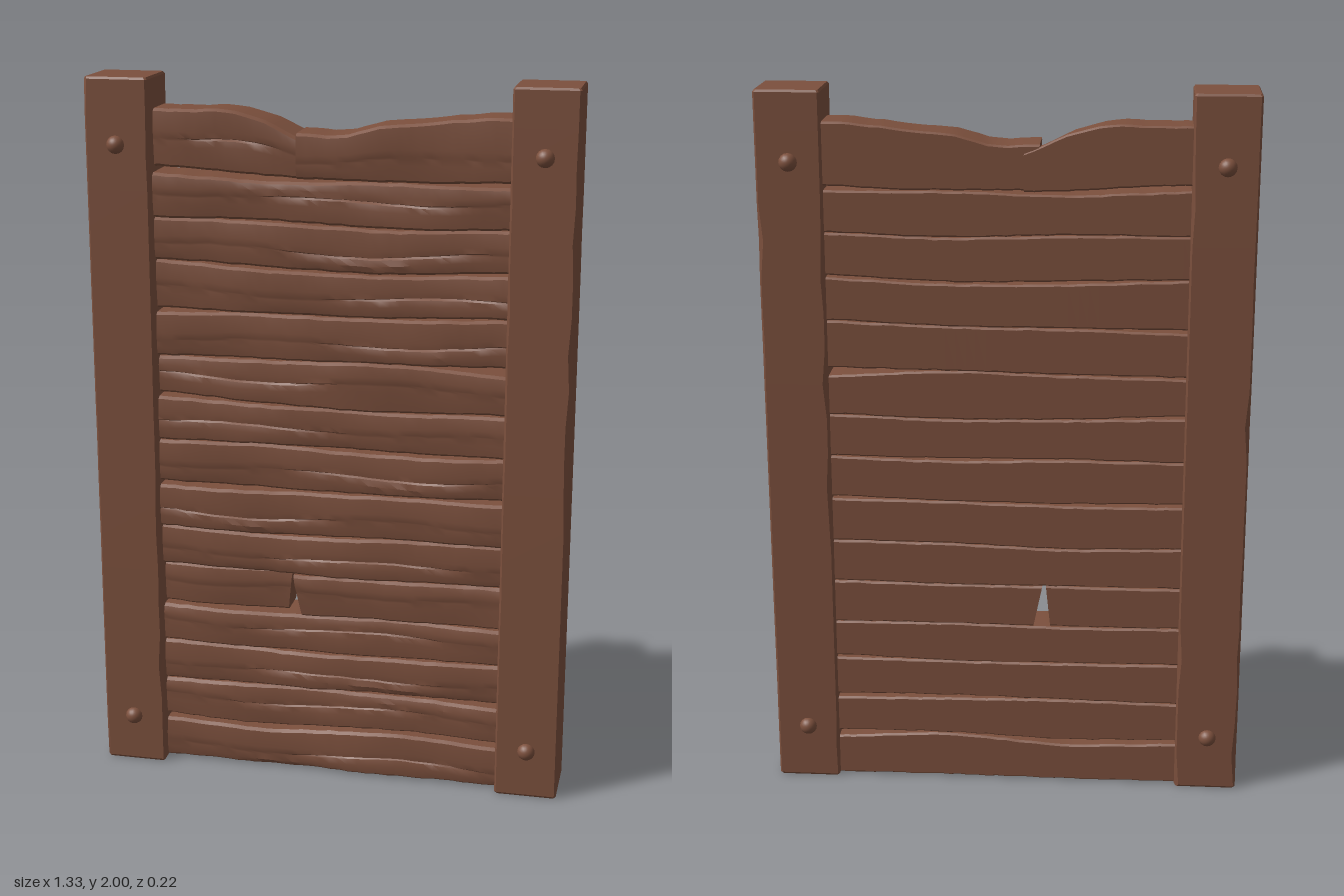
import * as THREE from 'three';
import { toCreasedNormals } from 'three/addons/utils/BufferGeometryUtils.js';

const wood = new THREE.MeshStandardMaterial({ color: 0x7c503d });
wood.name = 'brown wood';

// Small seeded random, returns -1..1
let seed = 11;
const rnd = () => {
  seed = (seed * 16807) % 2147483647;
  return (seed / 2147483647) * 2 - 1;
};

// Skins a list of rings of points (counter-clockwise seen from the far end)
function loft(rings) {
  const n = rings[0].length, last = (rings.length - 1) * n, idx = [];
  for (let i = 0; i < rings.length - 1; i++) {
    for (let j = 0; j < n; j++) {
      const a = i * n + j, b = i * n + (j + 1) % n;
      idx.push(a, b, b + n, a, b + n, a + n);
    }
  }
  for (let j = 1; j < n - 1; j++) {
    idx.push(0, j + 1, j, last, last + j, last + j + 1);
  }
  const g = new THREE.BufferGeometry();
  g.setAttribute('position', new THREE.Float32BufferAttribute(rings.flat(2), 3));
  g.setIndex(idx);
  return toCreasedNormals(g, 0.5);
}

function addMesh(group, name, geometry) {
  const m = new THREE.Mesh(geometry, wood);
  m.name = name;
  group.add(m);
  return m;
}

// Smooth edge height through evenly spaced values
const edge = (ys) => {
  const c = new THREE.SplineCurve(ys.map((y, i) => new THREE.Vector2(i, y)));
  return (u) => c.getPoint(u).y;
};

// A worn plank along x: wavy edges, uneven front face with a split in the grain
function plank(bottom, top, o = {}) {
  const { x0 = -0.5, x1 = 0.5, front = 0.057 + rnd() * 0.007, back = -0.07,
    leanStart = 0, leanEnd = 0, skewEnd = 0, split = true } = o;
  const lo = edge(bottom), hi = edge(top);
  const steps = Math.max(6, Math.round((x1 - x0) * 36));
  const p1 = rnd() * 3, p2 = rnd() * 3;
  const c0 = 0.5 + rnd() * 0.35, cv = 0.5 + rnd() * 0.12;
  const rings = [];
  for (let i = 0; i <= steps; i++) {
    const u = i / steps, x = x0 + (x1 - x0) * u;
    const y0 = lo(u) + rnd() * 0.0015, y1 = hi(u) + rnd() * 0.0015, h = y1 - y0;
    const bulge = 0.006 * Math.sin(x * 7 + p1) + 0.003 * Math.sin(x * 17 + p2);
    const f = front + bulge;
    const crack = split ? 0.013 * Math.max(0, 1 - Math.abs(u - c0) / 0.3) : 0;
    const yc = y0 + h * (cv + 0.05 * Math.sin(x * 9 + p2));
    const pts = [
      [y0 + 0.005, back], [y1 - 0.005, back], [y1, back + 0.006],
      [y1, f - 0.012], [y1 - 0.007, f - 0.002],
      [yc + 0.02, f + 0.003 + rnd() * 0.001],
      [yc + 0.003, f + 0.001], [yc, f - crack], [yc - 0.005, f - crack * 0.4],
      [yc - 0.022, f + rnd() * 0.001],
      [y0 + 0.007, f - 0.004], [y0, f - 0.014], [y0, back + 0.006],
    ];
    rings.push(pts.map(([y, z]) => {
      const v = (y - y0) / h;
      const shift = leanStart * v * (1 - u) + (leanEnd * v - skewEnd * z) * u;
      return [x + shift, y, z];
    }));
  }
  return loft(rings);
}

// Squared post with chamfered, slightly chipped corners
function post(cx) {
  const w = 0.088, d = 0.089, steps = 22, rings = [];
  for (let i = 0; i <= steps; i++) {
    const end = i === 0 || i === steps;
    const y = i === 0 ? 0 : i === steps ? 2 : 0.006 + 1.988 * (i - 1) / (steps - 2);
    const inset = end ? 0.004 : 0;
    const ring = [];
    for (const [sz, sx] of [[-1, -1], [1, -1], [1, 1], [-1, 1]]) {
      const c = 0.005 + (end ? 0 : Math.max(0, rnd()) ** 4 * 0.009);
      const a = [cx + sx * (w - inset - c), y, sz * (d - inset)];
      const b = [cx + sx * (w - inset), y, sz * (d - inset - c)];
      ring.push(...(sz * sx > 0 ? [b, a] : [a, b]));
    }
    // Corner order follows the loop around the post
    const mid = ring.map((p) => Math.atan2(p[0] - cx, p[2]));
    rings.push(ring.map((p, k) => [mid[k], p]).sort((m, n) => m[0] - n[0]).map((m) => m[1]));
  }
  return loft(rings);
}

export function createModel() {
  const door = new THREE.Group();
  door.name = 'plankPanel';

  // Side posts
  addMesh(door, 'leftPost', post(0.577));
  addMesh(door, 'rightPost', post(-0.577));

  // Domed bolts on both faces of the posts
  const dome = new THREE.SphereGeometry(0.025, 16, 8, 0, Math.PI * 2, 0, Math.PI / 2);
  for (const x of [-0.58, 0.577]) {
    for (const [y, s] of [[1.82, 1], [0.14, 1], [1.81, -1], [0.16, -1]]) {
      const bolt = addMesh(door, s > 0 ? 'frontBolt' : 'backBolt', dome);
      bolt.position.set(x, y, s * 0.087);
      bolt.rotation.x = s * Math.PI / 2;
    }
  }

  // Full-width planks: lower and upper edge heights from right to left
  const planks = [
    [[0.003, 0.002, 0.004, 0.002], [0.124, 0.114, 0.138, 0.121]],
    [[0.138, 0.130, 0.142, 0.139], [0.252, 0.256, 0.252, 0.246]],
    [[0.253, 0.257, 0.262, 0.258], [0.374, 0.370, 0.370, 0.372]],
    [[0.376, 0.373, 0.371, 0.380], [0.487, 0.484, 0.489, 0.485]],
    [[0.612, 0.610, 0.608, 0.614], [0.730, 0.722, 0.732, 0.735]],
    [[0.731, 0.724, 0.733, 0.736], [0.853, 0.852, 0.858, 0.860]],
    [[0.864, 0.859, 0.860, 0.868], [0.985, 0.986, 0.978, 0.985]],
    [[0.986, 0.990, 0.986, 0.987], [1.112, 1.104, 1.098, 1.108]],
    [[1.121, 1.106, 1.100, 1.109], [1.226, 1.230, 1.238, 1.218]],
    [[1.231, 1.233, 1.239, 1.242], [1.355, 1.362, 1.364, 1.374]],
    [[1.364, 1.364, 1.365, 1.376], [1.500, 1.486, 1.482, 1.494]],
    [[1.502, 1.494, 1.488, 1.503], [1.619, 1.618, 1.608, 1.618]],
    [[1.620, 1.620, 1.610, 1.619], [1.742, 1.727, 1.734, 1.732]],
  ];
  for (const [lo, hi] of planks) addMesh(door, 'plank', plank(lo, hi));

  // Snapped plank with a wedge-shaped hole
  addMesh(door, 'snappedPlankRight', plank([0.489, 0.487, 0.487], [0.610, 0.609, 0.611],
    { x1: -0.125, leanEnd: 0.013, front: 0.03, split: false }));
  addMesh(door, 'snappedPlankLeft', plank([0.487, 0.488, 0.486], [0.608, 0.608, 0.611],
    { x0: -0.077, leanStart: -0.025, front: 0.06, split: false }));

  // Broken top plank in two overlapping pieces
  addMesh(door, 'topPlankRight', plank([1.757, 1.752, 1.741, 1.735],
    [1.913, 1.912, 1.914, 1.888, 1.838],
    { x1: -0.068, skewEnd: 0.3, front: 0.034, back: -0.074 }));
  addMesh(door, 'topPlankLeft', plank([1.739, 1.738, 1.737, 1.746],
    [1.862, 1.858, 1.886, 1.897, 1.91, 1.916],
    { x0: -0.088, front: 0.061, split: false }));

  return door;
}
